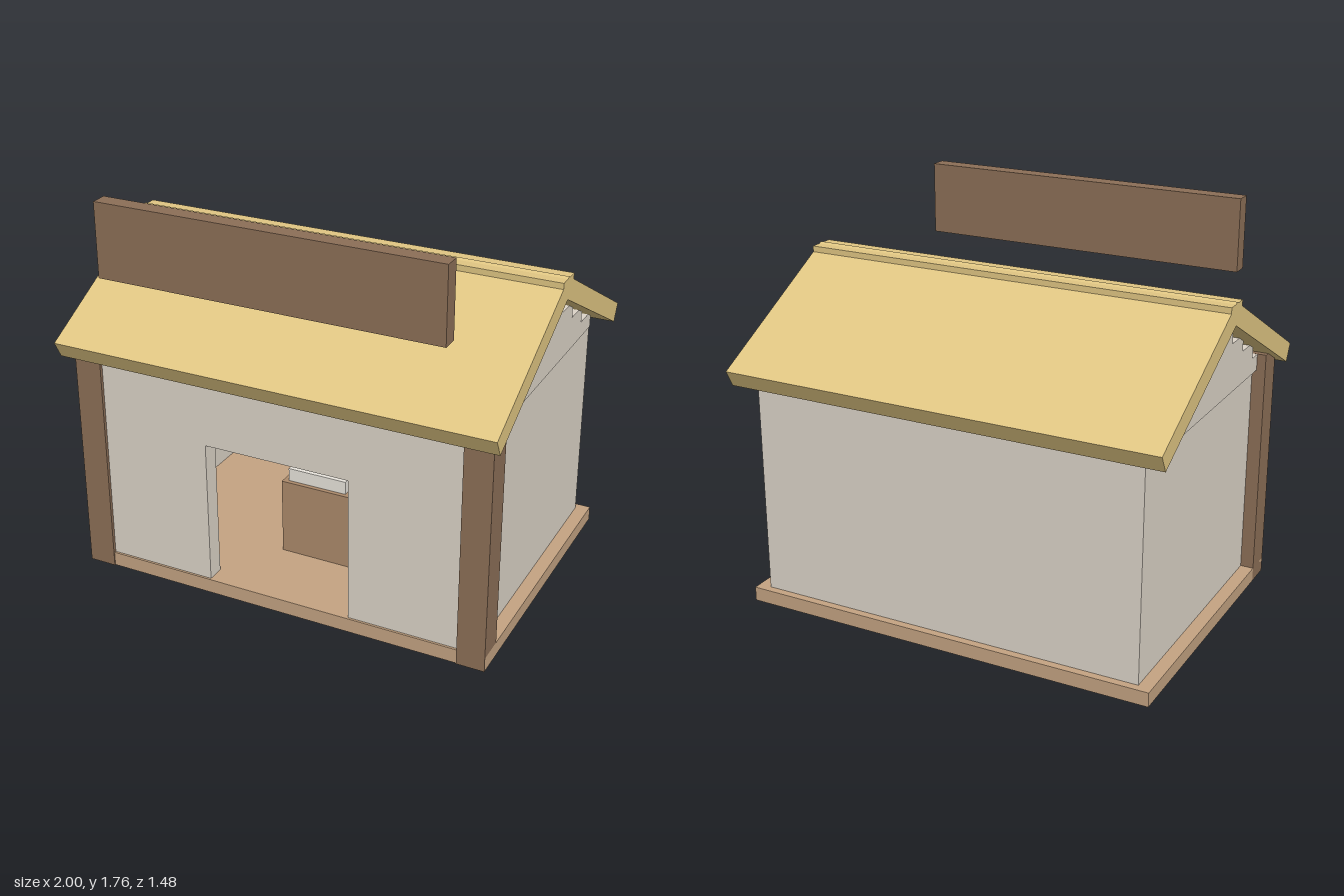
import * as THREE from 'three';

const mat = (color) => new THREE.MeshStandardMaterial({ color });
const wood = mat(0x8c6f57);
const floorMat = mat(0xc4a382);
const wallMat = mat(0xdcd4c8);
const roofMat = mat(0xe0c683);
const counterMat = mat(0xac8a6b);
const paper = mat(0xe8e4dc);

// Box given by its extents on each axis
function box(parent, name, material, [x0, x1], [y0, y1], [z0, z1]) {
  const mesh = new THREE.Mesh(new THREE.BoxGeometry(x1 - x0, y1 - y0, z1 - z0), material);
  mesh.position.set((x0 + x1) / 2, (y0 + y1) / 2, (z0 + z1) / 2);
  mesh.name = name;
  parent.add(mesh);
  return mesh;
}

function group(parent, name) {
  const g = new THREE.Group();
  g.name = name;
  parent.add(g);
  return g;
}

// Floor, back and side walls, front wall with a doorway
function addShell(shop) {
  const floorTop = 0.065, wallTop = 1.03;
  box(shop, 'floor', floorMat, [-0.96, 0.96], [0, floorTop], [-0.69, 0.65]);
  const walls = group(shop, 'walls');
  box(walls, 'backWall', wallMat, [-0.9, 0.9], [floorTop, wallTop], [-0.655, -0.58]);

  const front = new THREE.Shape([
    [-0.9, floorTop], [-0.335, floorTop], [-0.335, 0.725], [0.335, 0.725],
    [0.335, floorTop], [0.9, floorTop], [0.9, wallTop], [-0.9, wallTop],
  ].map(([x, y]) => new THREE.Vector2(x, y)));
  const frontWall = new THREE.Mesh(
    new THREE.ExtrudeGeometry(front, { depth: 0.08, bevelEnabled: false }), wallMat);
  frontWall.position.z = 0.56;
  frontWall.name = 'frontWall';
  walls.add(frontWall);

  for (const side of [-1, 1]) {
    const span = (a, b) => (side > 0 ? [a, b] : [-b, -a]);
    const label = side > 0 ? 'left' : 'right';
    box(walls, label + 'Wall', wallMat, span(0.83, 0.9), [floorTop, wallTop], [-0.58, 0.56]);
    box(shop, label + 'Pillar', wood, span(0.835, 0.96), [0, 1.105], [0.53, 0.655]);

    // Stepped gable under the roof slope
    const gable = group(shop, label + 'Gable');
    for (let i = 0; i < 5; i++) {
      const half = 0.6 - i * 0.134, y = wallTop + i * 0.074;
      box(gable, 'gableStep', wallMat, span(0.83, 0.92), [y, y + 0.074], [-half, half]);
    }
  }
}

// Chevron roof slabs with a ridge cap
function addRoof(shop) {
  const roof = group(shop, 'roof');
  const profile = new THREE.Shape([
    [-0.74, 1.105], [-0.7, 1.03], [0, 1.4], [0.7, 1.03], [0.74, 1.105], [0, 1.5],
  ].map(([z, y]) => new THREE.Vector2(z, y)));
  const geo = new THREE.ExtrudeGeometry(profile, { depth: 2, bevelEnabled: false });
  geo.translate(0, 0, -1).rotateY(Math.PI / 2);
  const slabs = new THREE.Mesh(geo, roofMat);
  slabs.name = 'roofSlabs';
  roof.add(slabs);
  box(roof, 'ridgeCap', roofMat, [-1, 1], [1.44, 1.493], [-0.063, 0.063]);
}

// Display shelf with rows of coloured goods, and a counter
function addInterior(shop) {
  const shelf = group(shop, 'displayShelf');
  box(shelf, 'shelfBack', wood, [-0.7, 0.7], [0.065, 0.71], [-0.57, -0.46]);
  const colors = [0xdcae80, 0xbfaadb, 0xa9a9a9, 0xd9c878, 0xdb98aa, 0x93c3dc].map(mat);
  for (let row = 0; row < 3; row++) {
    const y = 0.305 + row * 0.1675;
    box(shelf, 'shelfBoard', wood, [-0.7, 0.7], [y - 0.028, y], [-0.46, -0.37]);
    for (let col = -4; col <= 4; col++) {
      const x = col * 0.1475;
      const color = colors[(col + 10 - row) % 6];
      box(shelf, 'goods', color, [x - 0.045, x + 0.045], [y, y + 0.138], [-0.46, -0.375]);
    }
  }
  const counter = group(shop, 'counter');
  box(counter, 'counterBody', counterMat, [-0.165, 0.165], [0.065, 0.42], [0.07, 0.29]);
  box(counter, 'counterTray', paper, [-0.14, 0.14], [0.42, 0.48], [0.1, 0.27]);
}

export function createModel() {
  const shop = new THREE.Group();
  shop.name = 'shop';
  addShell(shop);
  addRoof(shop);
  addInterior(shop);
  // Blank sign board above the front eave
  box(shop, 'signBoard', wood, [-0.77, 0.77], [1.43, 1.76], [0.632, 0.706]);
  return shop;
}
